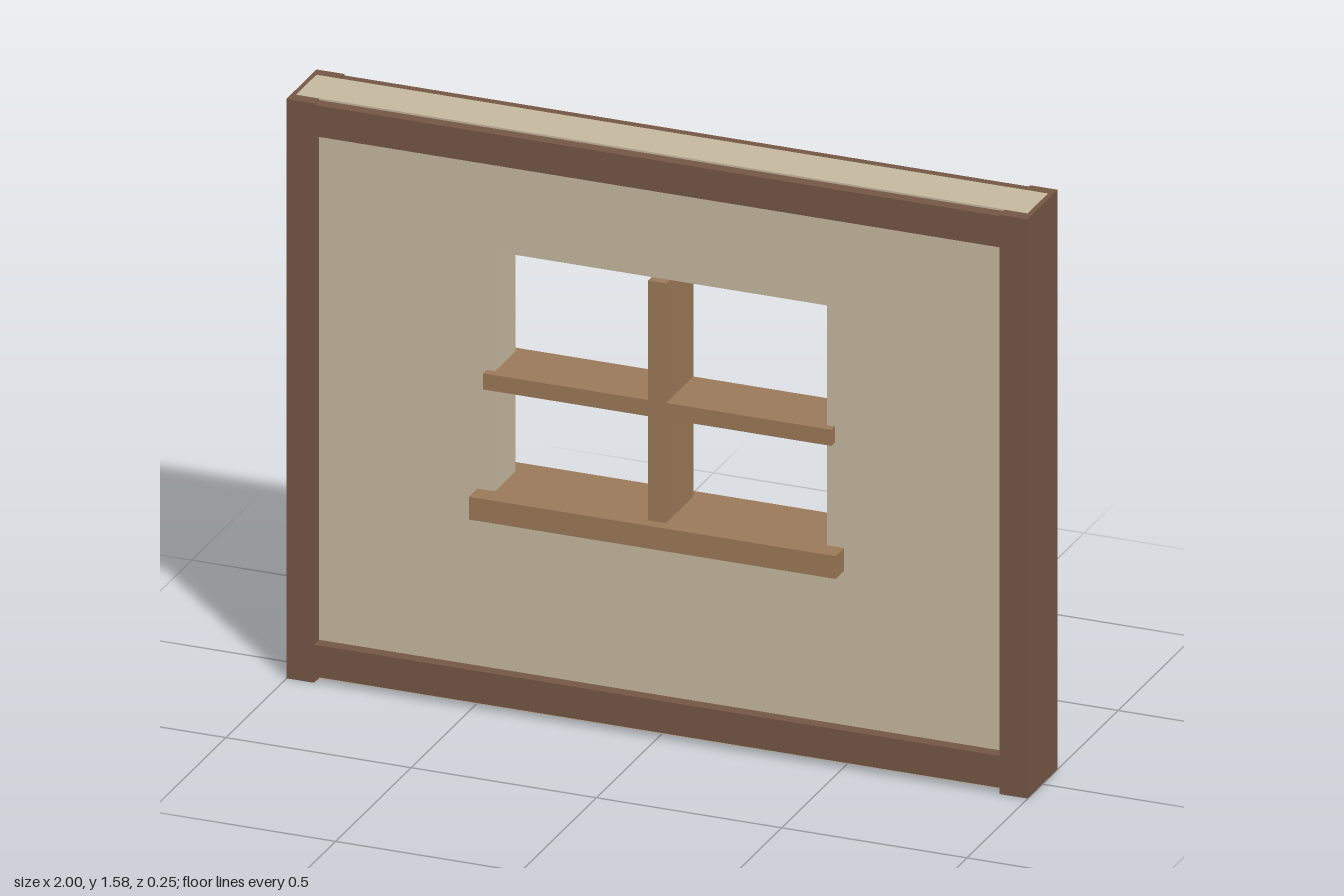
import * as THREE from 'three';

const wallMat = new THREE.MeshStandardMaterial({ name: 'plaster', color: 0xc6b9a0 });
const frameMat = new THREE.MeshStandardMaterial({ name: 'darkTimber', color: 0x755745 });
const woodMat = new THREE.MeshStandardMaterial({ name: 'lightTimber', color: 0x9c7a59 });

// Box given by its extents on each axis
function block(name, mat, [x0, x1], [y0, y1], [z0, z1]) {
  const mesh = new THREE.Mesh(new THREE.BoxGeometry(x1 - x0, y1 - y0, z1 - z0), mat);
  mesh.position.set((x0 + x1) / 2, (y0 + y1) / 2, (z0 + z1) / 2);
  mesh.name = name;
  return mesh;
}

function rectangle(Type, x0, x1, y0, y1) {
  return new Type([[x0, y0], [x1, y0], [x1, y1], [x0, y1]].map(p => new THREE.Vector2(...p)));
}

export function createModel() {
  const group = new THREE.Group();
  group.name = 'windowWall';

  // Plaster panel with the window opening
  const depth = 0.134;
  const shape = rectangle(THREE.Shape, -0.987, 0.987, 0, 1.58);
  shape.holes.push(rectangle(THREE.Path, -0.45, 0.445, 0.555, 1.24));
  const wallGeo = new THREE.ExtrudeGeometry(shape, { depth, bevelEnabled: false });
  wallGeo.translate(0, 0, -depth / 2);
  const wall = new THREE.Mesh(wallGeo, wallMat);
  wall.name = 'wallPanel';
  group.add(wall);

  // Side posts
  group.add(block('leftPost', frameMat, [0.925, 1], [0.001, 1.579], [-0.1, 0.1]));
  group.add(block('rightPost', frameMat, [-1, -0.925], [0.001, 1.579], [-0.1, 0.1]));

  // Rails on both faces of the panel
  for (const [side, z] of [['front', [0.06, 0.1]], ['back', [-0.1, -0.06]]]) {
    group.add(block(side + 'TopRail', frameMat, [-0.925, 0.925], [1.49, 1.575], z));
    group.add(block(side + 'BottomRail', frameMat, [-0.925, 0.925], [0.018, 0.105], z));
  }

  // Window sill and crossing bars
  group.add(block('windowSill', woodMat, [-0.498, 0.492], [0.525, 0.587], [-0.123, 0.123]));
  group.add(block('windowCrossbar', woodMat, [-0.473, 0.467], [0.87, 0.914], [-0.09, 0.09]));
  group.add(block('windowMullion', woodMat, [-0.027, 0.021], [0.58, 1.24], [-0.091, 0.091]));

  return group;
}
